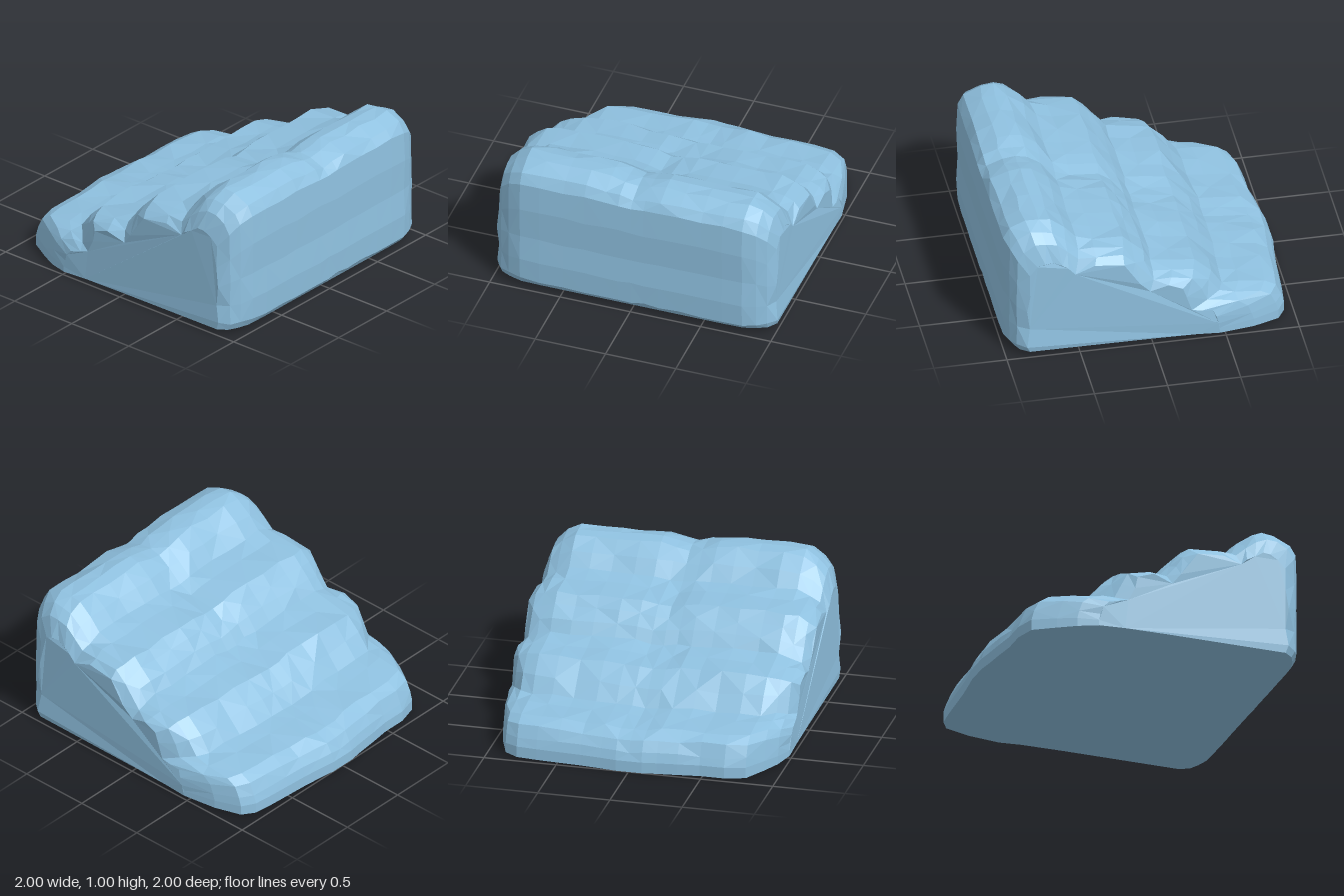
import * as THREE from 'three';

// Stepped profile from the front foot, over the steps, to the rear foot:
// [z, y] in the middle, [z, y] at the ends, wear of the point at the centre line
const PROFILE = [
  [0.96, 0.035, 0.84, 0.04, 0],
  [0.99, 0.08, 0.86, 0.09, 0],
  [1.0, 0.24, 0.84, 0.22, 0],
  [0.99, 0.43, 0.86, 0.36, 0],
  [1.0, 0.66, 0.84, 0.5, 0],
  [0.99, 0.87, 0.84, 0.66, 0.2],
  [0.95, 0.94, 0.79, 0.72, 0.7],
  [0.84, 0.99, 0.74, 0.75, 1],
  [0.75, 1.0, 0.68, 0.75, 1],
  [0.67, 0.985, 0.62, 0.72, 1],
  [0.57, 0.9, 0.57, 0.68, 0.5],
  [0.485, 0.805, 0.52, 0.64, 0.4],
  [0.37, 0.78, 0.4, 0.68, 0.5],
  [0.17, 0.765, 0.2, 0.66, 0.7],
  [0.1, 0.7, 0.14, 0.58, 0.5],
  [0.03, 0.63, 0.09, 0.5, 0.4],
  [-0.03, 0.55, 0.02, 0.42, 0.3],
  [-0.16, 0.525, -0.1, 0.46, 0.4],
  [-0.33, 0.51, -0.24, 0.42, 0.6],
  [-0.45, 0.4, -0.33, 0.34, 0.4],
  [-0.54, 0.3, -0.43, 0.24, 0.3],
  [-0.66, 0.285, -0.62, 0.23, 0.4],
  [-0.85, 0.27, -0.82, 0.21, 0.4],
  [-0.94, 0.22, -0.92, 0.16, 0.2],
  [-0.98, 0.14, -0.97, 0.1, 0],
  [-1.0, 0.08, -1.0, 0.06, 0],
  [-1.0, 0.003, -1.0, 0.02, 0],
  [-0.5, 0.02, -0.5, 0.03, 0],
  [0.0, 0.033, 0.0, 0.035, 0],
];

// Cross-sections along x: [x, blend to the end profile, rear limit, centre wear]
const STATIONS = [
  [-0.99, 1, -0.5, 0], [-0.945, 0.5, -0.64, 0], [-0.88, 0.24, -0.76, 0],
  [-0.79, 0.03, -0.91, 0], [-0.65, 0, -0.95, 0], [-0.48, 0, -0.95, 0],
  [-0.33, 0, -0.97, 0], [-0.19, 0, -0.985, 0.15], [-0.09, 0, -1, 0.6], [0, 0, -1, 1],
  [0.09, 0, -1, 0.7], [0.2, 0, -0.985, 0.3], [0.34, 0, -0.97, 0.25],
  [0.5, 0, -0.96, 0.3], [0.65, 0, -0.95, 0.25], [0.79, 0.03, -0.935, 0.2],
  [0.88, 0.24, -0.88, 0], [0.945, 0.5, -0.7, 0], [0.99, 1, -0.46, 0],
];

// Repeatable unevenness in -1..1
const rough = (i, j, k) => {
  const n = Math.sin(i * 12.99 + j * 78.23 + k * 37.72) * 43758.55;
  return 2 * (n - Math.floor(n)) - 1;
};

// One closed cross-section as [x, y, z] corners
function section([x, t, rear, wear], i) {
  return PROFILE.map(([zm, ym, ze, ye, w], j) => {
    let z = THREE.MathUtils.lerp(zm, ze, t);
    let y = THREE.MathUtils.lerp(ym, ye, t) - 0.055 * w * wear;
    // draw the lowest step in towards the rounded rear corners
    const pivot = THREE.MathUtils.lerp(-0.3, -0.2, t);
    if (z < pivot) z = pivot + (z - pivot) * (rear - pivot) / (-1 - pivot);
    const exposed = j > 0 && j < 25;
    if (exposed) {
      y += rough(i, j, 1) * 0.009;
      if (j > 5 && j < 23) z += rough(i, j, 2) * 0.01;
    }
    const px = t === 1 && exposed ? x + rough(i, j, 3) * 0.009 : x;
    return [px, Math.max(0, Math.min(1, y)), Math.max(-1, Math.min(1, z))];
  });
}

function createStepsGeometry() {
  const rings = STATIONS.map(section);
  const n = PROFILE.length;
  const last = rings.length - 1;
  const index = [];

  // Skin between neighbouring sections, with alternating diagonals
  for (let i = 0; i < last; i++) {
    for (let j = 0; j < n; j++) {
      const k = (j + 1) % n;
      const a = i * n + j, b = a + n, d = i * n + k, c = d + n;
      if ((i + j) % 2) index.push(a, b, c, a, c, d);
      else index.push(a, b, d, b, c, d);
    }
  }

  // Flat ends
  for (const i of [0, last]) {
    const outline = rings[i].map(([, y, z]) => new THREE.Vector2(z, y));
    for (const [a, b, c] of THREE.ShapeUtils.triangulateShape(outline, [])) {
      const o = i * n;
      if (i === 0) index.push(o + a, o + b, o + c);
      else index.push(o + a, o + c, o + b);
    }
  }

  const geometry = new THREE.BufferGeometry();
  geometry.setAttribute('position', new THREE.Float32BufferAttribute(rings.flat(2), 3));
  geometry.setIndex(index);
  const faceted = geometry.toNonIndexed();
  faceted.computeVertexNormals();
  return faceted;
}

export function createModel() {
  const group = new THREE.Group();
  group.name = 'stoneSteps';
  const stone = new THREE.MeshStandardMaterial({ color: 0x8fc1e0, flatShading: true });
  const steps = new THREE.Mesh(createStepsGeometry(), stone);
  steps.name = 'wornSteps';
  group.add(steps);
  return group;
}
